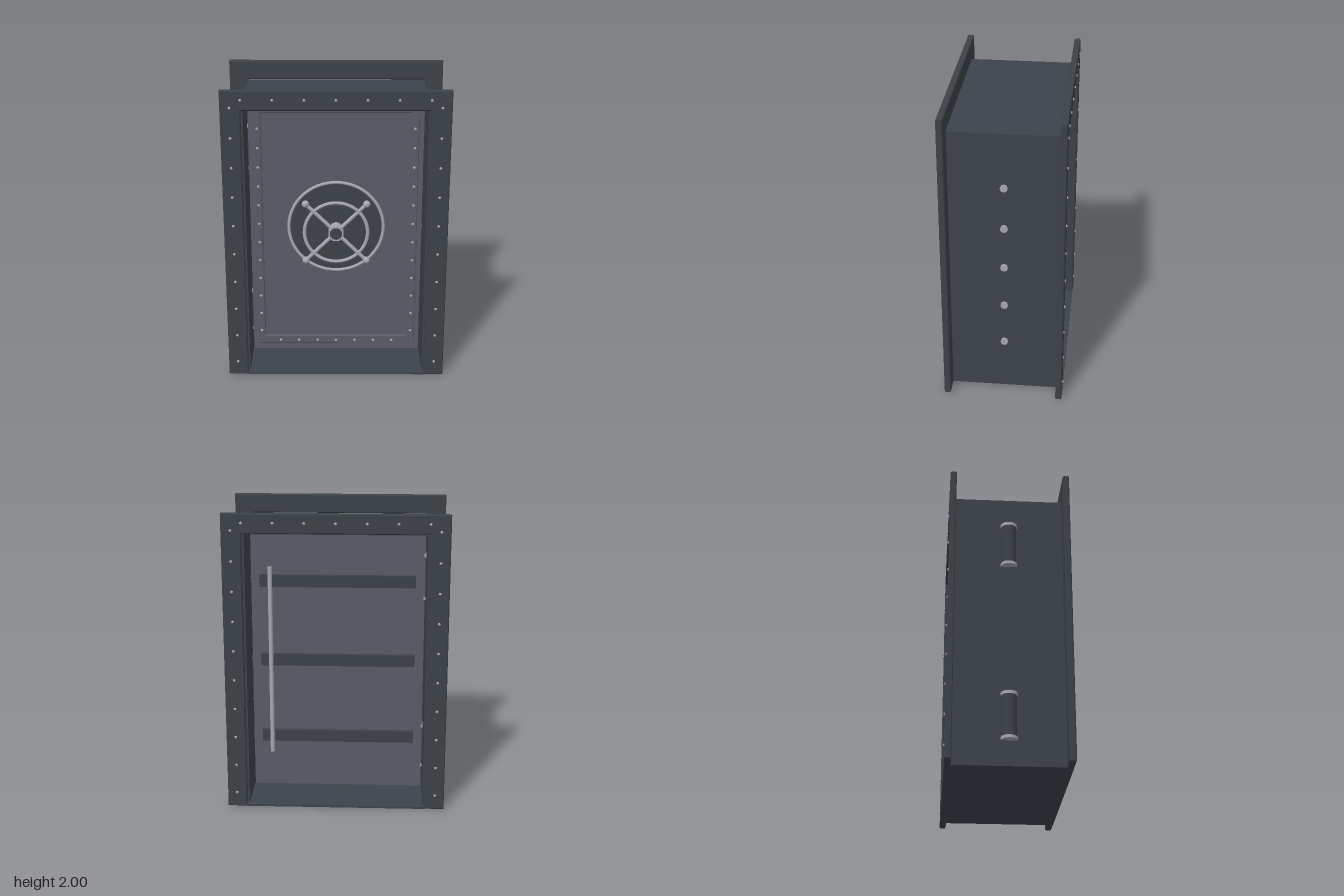
import * as THREE from 'three';

const mat = (name, color) => {
  const m = new THREE.MeshStandardMaterial({ color });
  m.name = name;
  return m;
};

export function createModel() {
  const root = new THREE.Group();
  root.name = 'vaultDoor';
  const frameMat = mat('darkFrameSteel', 0x3b4247);
  const wallMat = mat('darkWallSteel', 0x3d434a);
  const doorMat = mat('doorSteel', 0x5a5b66);
  const metal = mat('brightMetal', 0xa5a8af);

  const add = (name, geo, material, x = 0, y = 0, z = 0, parent = root) => {
    const m = new THREE.Mesh(geo, material);
    m.name = name;
    m.position.set(x, y, z);
    parent.add(m);
    return m;
  };
  const box = (name, material, x0, x1, y0, y1, z0, z1, parent) =>
    add(name, new THREE.BoxGeometry(x1 - x0, y1 - y0, z1 - z0), material,
      (x0 + x1) / 2, (y0 + y1) / 2, (z0 + z1) / 2, parent);
  // cylinder whose axis runs along z, from z0 to z1
  const disc = (name, material, r, z0, z1, sides, parent) =>
    add(name, new THREE.CylinderGeometry(r, r, z1 - z0, sides).rotateX(Math.PI / 2),
      material, 0, 0, (z0 + z1) / 2, parent);
  const shapeOf = pts => new THREE.Shape(pts.map(p => new THREE.Vector2(p[0], p[1])));
  const rect = (w, y0, y1) => [[-w, y0], [w, y0], [w, y1], [-w, y1]];

  // Passage box
  for (const s of [-1, 1])
    box('sideWall', wallMat, Math.min(s * 0.585, s * 0.6), Math.max(s * 0.585, s * 0.6), 0, 1.87, -0.355, 0.355);
  box('ceiling', wallMat, -0.585, 0.585, 1.862, 1.87, -0.355, 0.355);
  box('floor', wallMat, -0.598, 0.598, 0, 0.013, -0.392, 0.392);

  // Front and back flanges, open at the bottom
  const b = 0.006;
  const flangeGeo = new THREE.ExtrudeGeometry(shapeOf([
    [-0.727 + b, b], [-0.598 - b, b], [-0.598 - b, 1.872 + b], [0.598 + b, 1.872 + b],
    [0.598 + b, b], [0.727 - b, b], [0.727 - b, 2 - b], [-0.727 + b, 2 - b],
  ]), { depth: 0.042 - 2 * b, bevelEnabled: true, bevelSize: b, bevelThickness: b, bevelSegments: 1 });
  flangeGeo.translate(0, 0, 0.351 + b);
  const rivetGeo = new THREE.SphereGeometry(0.01, 8, 4, 0, Math.PI * 2, 0, Math.PI / 2).rotateX(Math.PI / 2);
  for (const back of [false, true]) {
    const flange = new THREE.Group();
    flange.name = back ? 'backFlange' : 'frontFlange';
    add('flangePlate', flangeGeo, frameMat, 0, 0, 0, flange);
    for (let i = 0; i < 10; i++)
      for (const s of [-1, 1]) add('flangeRivet', rivetGeo, metal, s * 0.665, 0.1 + i * 0.199, 0.392, flange);
    for (let i = -3; i <= 3; i++) add('flangeRivet', rivetGeo, metal, i * 0.199, 1.94, 0.392, flange);
    if (back) flange.rotation.y = Math.PI;
    root.add(flange);
  }

  // Door slab and raised trim
  box('doorSlab', doorMat, -0.58, 0.58, 0.017, 1.858, -0.045, 0.05);
  const trim = shapeOf(rect(0.543, 0.066, 1.819));
  trim.holes.push(new THREE.Path(rect(0.501, 0.121, 1.764).reverse().map(p => new THREE.Vector2(p[0], p[1]))));
  add('doorTrim', new THREE.ExtrudeGeometry(trim, {
    depth: 0.01, bevelEnabled: true, bevelSize: 0.006, bevelThickness: 0.005, bevelSegments: 1,
  }), doorMat, 0, 0, 0.05);
  for (let i = 0; i < 12; i++)
    for (const s of [-1, 1]) add('trimRivet', rivetGeo, metal, s * 0.521, 0.166 + i * 0.135, 0.064);
  for (let i = -3; i <= 3; i++)
    for (const y of [0.09, 1.793]) add('trimRivet', rivetGeo, metal, i * 0.13, y, 0.064);

  // Locking wheel
  const wheel = new THREE.Group();
  wheel.name = 'lockingWheel';
  wheel.position.set(0, 0.957, 0);
  root.add(wheel);
  disc('wheelBackPlate', frameMat, 0.322, 0.045, 0.066, 48, wheel);
  add('plateRim', new THREE.TorusGeometry(0.32, 0.011, 8, 64), metal, 0, 0, 0.066, wheel);
  disc('wheelBoss', frameMat, 0.16, 0.06, 0.085, 32, wheel);
  disc('wheelShaft', metal, 0.042, 0.08, 0.17, 16, wheel);
  disc('wheelHub', metal, 0.055, 0.14, 0.192, 8, wheel).rotation.z = Math.PI / 8;
  disc('hubCap', frameMat, 0.041, 0.19, 0.197, 20, wheel);
  add('wheelRing', new THREE.TorusGeometry(0.212, 0.012, 8, 48), metal, 0, 0, 0.165, wheel);
  for (let i = 0; i < 4; i++) {
    const spoke = new THREE.Group();
    spoke.name = 'spoke';
    spoke.rotation.z = Math.PI / 4 + i * Math.PI / 2;
    add('spokeRod', new THREE.CylinderGeometry(0.013, 0.013, 0.25, 10), metal, 0, 0.163, 0.165, spoke);
    add('spokeKnob', new THREE.SphereGeometry(0.025, 12, 10), metal, 0, 0.288, 0.165, spoke);
    wheel.add(spoke);
  }

  // Inner side of the door: cross bars and upright handle
  for (const y of [0.39, 0.94, 1.49])
    box('crossBar', frameMat, -0.52, 0.52, y - 0.04, y + 0.04, -0.075, -0.044);
  add('backRod', new THREE.CylinderGeometry(0.015, 0.015, 1.31, 12), metal, 0.45, 0.935, -0.09);

  // Bolt heads on the left wall
  for (let i = 0; i < 5; i++)
    add('boltHead', new THREE.CylinderGeometry(0.025, 0.025, 0.03, 8).rotateZ(Math.PI / 2),
      metal, 0.6, 0.36 + i * 0.286, 0);

  // Hinges on the right wall
  for (const y of [0.32, 1.52]) {
    add('hingeBarrel', new THREE.CylinderGeometry(0.048, 0.048, 0.29, 20), frameMat, -0.6, y, 0);
    for (const s of [-1, 1])
      add('hingeCap', new THREE.CylinderGeometry(0.053, 0.053, 0.02, 20), metal, -0.6, y + s * 0.145, 0);
  }
  return root;
}
